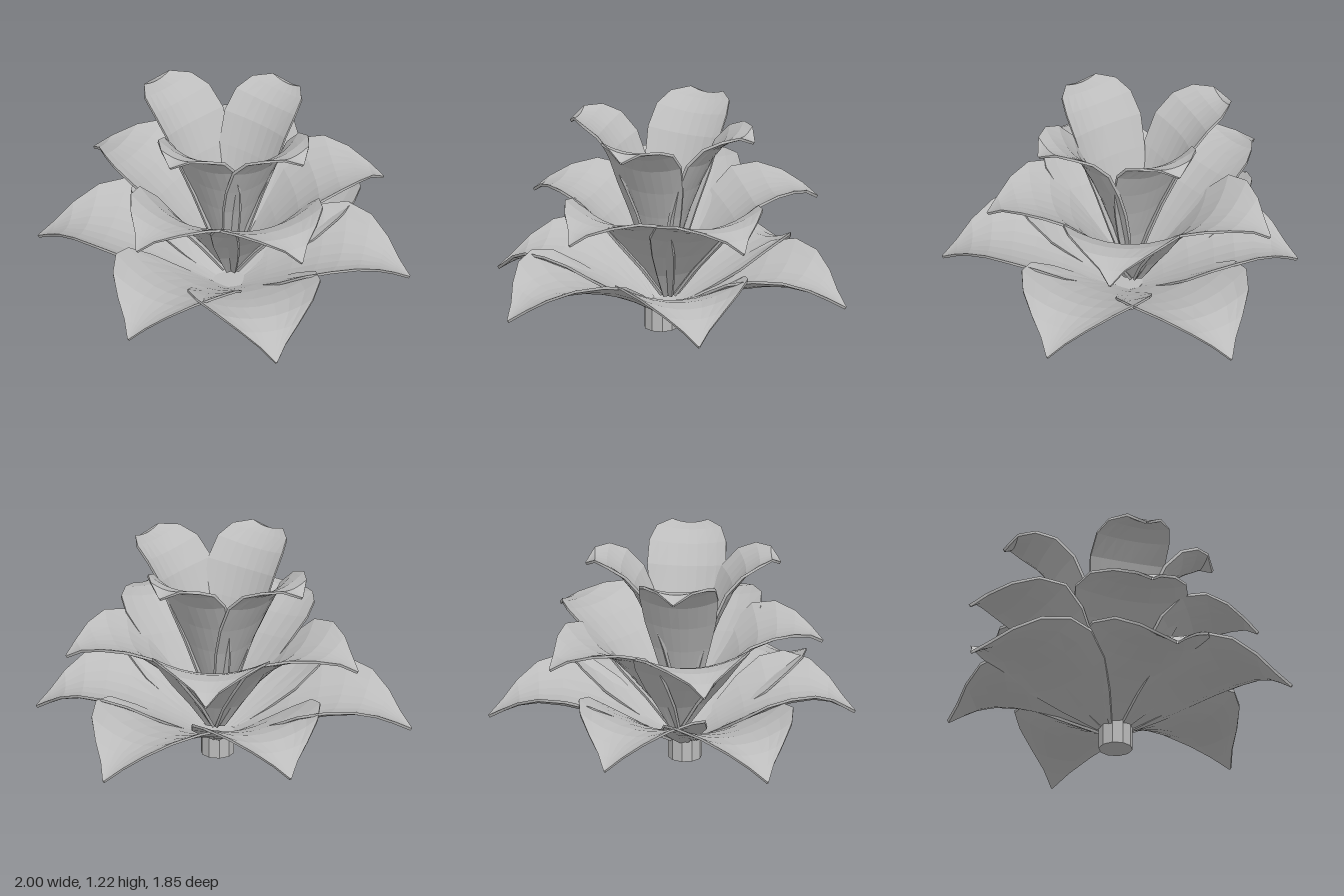
import * as THREE from 'three';

const petalGrey = new THREE.MeshStandardMaterial({ color: 0xbcbcbc, flatShading: true, side: THREE.DoubleSide });
petalGrey.name = 'petal grey';

const ACROSS = 8;        // facets across a petal
const THICKNESS = 0.016;

// Each profile row: fraction of petal length, height, half width, cupping of the edges
const lowerProfile = [
  [0.06, 0.13, 0.06, 0], [0.2, 0.21, 0.19, 0.03], [0.35, 0.285, 0.31, 0.07],
  [0.5, 0.34, 0.37, 0.11], [0.62, 0.37, 0.36, 0.11], [0.74, 0.375, 0.28, 0.085],
  [0.84, 0.35, 0.17, 0.045], [0.92, 0.305, 0.075, 0.015], [1, 0.25, 0.004, 0],
];
const middleProfile = [
  [0.02, 0.2, 0.05, 0], [0.14, 0.36, 0.14, 0.02], [0.28, 0.51, 0.23, 0.04],
  [0.42, 0.64, 0.3, 0.07], [0.55, 0.73, 0.33, 0.08], [0.68, 0.775, 0.28, 0.06],
  [0.8, 0.785, 0.18, 0.03], [0.91, 0.76, 0.07, 0.01], [1, 0.71, 0.004, 0],
];
const upperProfile = [
  [0.03, 0.3, 0.05, 0], [0.12, 0.5, 0.11, 0.02], [0.24, 0.7, 0.16, 0.04],
  [0.36, 0.87, 0.2, 0.05], [0.5, 1.03, 0.22, 0.06], [0.64, 1.13, 0.215, 0.05],
  [0.78, 1.185, 0.18, 0.03], [0.9, 1.2, 0.1, 0.02], [1, 1.165, 0.004, 0],
];

// Tiers: centre and petal tips as [x, z]
const tiers = [
  { name: 'lowerPetal', profile: lowerProfile, centre: [-0.07, -0.03],
    tips: [[-0.72, -0.92], [0.21, -0.93], [1, -0.24], [0.62, 0.72], [-0.51, 0.92], [-1, 0.21]] },
  { name: 'middlePetal', profile: middleProfile, centre: [-0.04, -0.045],
    tips: [[-0.35, -0.88], [0.58, -0.63], [0.71, 0.38], [-0.2, 0.77], [-0.84, 0.09]] },
  { name: 'upperPetal', profile: upperProfile, centre: [-0.07, -0.035],
    tips: [[-0.13, -0.66], [0.47, -0.13], [0, 0.54], [-0.6, 0.09]] },
];

// Thin cupped shell: closed cross-sections swept from the base to the tip
function petalGeometry(profile, [cx, cz], [tx, tz]) {
  const length = Math.hypot(tx - cx, tz - cz);
  const dx = (tx - cx) / length, dz = (tz - cz) / length;
  const positions = [], index = [];
  const ring = 2 * (ACROSS + 1);
  profile.forEach(([s, y, halfWidth, cup], j) => {
    const before = profile[Math.max(j - 1, 0)];
    const after = profile[Math.min(j + 1, profile.length - 1)];
    const tangent = new THREE.Vector2((after[0] - before[0]) * length, after[1] - before[1]).normalize();
    for (let i = 0; i < ring; i++) {
      const under = i > ACROSS;
      const u = ((under ? ring - 1 - i : i) / ACROSS) * 2 - 1;
      const lift = cup * u * u - (under ? THICKNESS : 0);
      const r = s * length - tangent.y * lift;
      const side = halfWidth * u;
      positions.push(cx + dx * r + dz * side, y + tangent.x * lift, cz + dz * r - dx * side);
      if (j === profile.length - 1) continue;
      const a = j * ring + i, b = j * ring + (i + 1) % ring;
      index.push(a, a + ring, b, b, a + ring, b + ring);
    }
  });
  const geometry = new THREE.BufferGeometry();
  geometry.setAttribute('position', new THREE.Float32BufferAttribute(positions, 3));
  geometry.setIndex(index);
  geometry.computeVertexNormals();
  return geometry;
}

export function createModel() {
  const flower = new THREE.Group();
  flower.name = 'flower';

  // Short faceted stem
  const stem = new THREE.Mesh(new THREE.CylinderGeometry(0.095, 0.095, 0.14, 10), petalGrey);
  stem.name = 'stem';
  stem.position.set(-0.075, 0.07, -0.02);
  flower.add(stem);

  // Three tiers of petals
  for (const { name, profile, centre, tips } of tiers) {
    const tier = new THREE.Group();
    tier.name = name + 's';
    tips.forEach((tip, i) => {
      const petal = new THREE.Mesh(petalGeometry(profile, centre, tip), petalGrey);
      petal.name = name + (i + 1);
      tier.add(petal);
    });
    flower.add(tier);
  }
  return flower;
}
